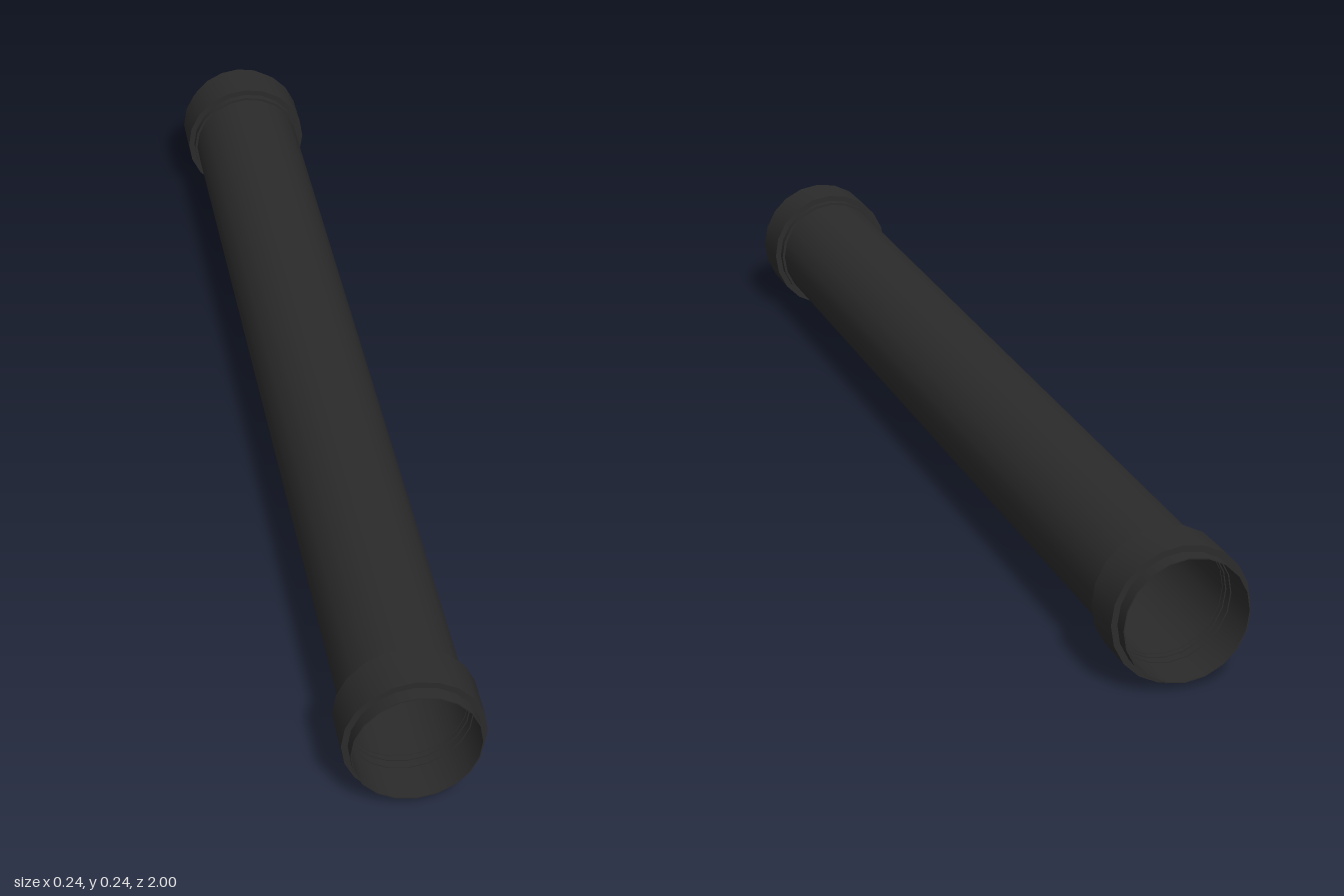
import * as THREE from 'three';
import { toCreasedNormals } from 'three/addons/utils/BufferGeometryUtils.js';

const SIDES = 20;
const RADIUS = 0.121; // widest radius, at the collars

const material = new THREE.MeshStandardMaterial({ color: 0x2b2b2b });

// Ring turned from a closed profile of [radius, distance along the axis],
// listed up the outside and back down the inside
function ring(name, profile) {
  const points = [...profile, profile[0]].map(([r, d]) => new THREE.Vector2(r, d));
  const geometry = toCreasedNormals(new THREE.LatheGeometry(points, SIDES), 0.5);
  const mesh = new THREE.Mesh(geometry, material);
  mesh.name = name;
  return mesh;
}

// Socket sleeve with a raised collar, at the +y end of the axis
function makeEnd(name) {
  const end = new THREE.Group();
  end.name = name;
  end.add(
    ring('sleeve', [
      [0.104, 0.88], [0.11, 0.88], [0.11, 1], [0.108, 1],
      [0.108, 0.93], [0.106, 0.93], [0.106, 0.915], [0.104, 0.915],
    ]),
    ring('collar', [
      [0.109, 0.893], [RADIUS, 0.893], [RADIUS, 0.975], [0.109, 0.975],
    ]),
  );
  return end;
}

export function createModel() {
  const model = new THREE.Group();
  model.name = 'pipe';

  // Long hollow tube
  const tube = ring('tube', [
    [0.103, -0.905], [0.105, -0.905], [0.105, 0.905], [0.103, 0.905],
  ]);
  tube.rotation.x = Math.PI / 2;
  model.add(tube);

  // Matching ends at the front and back
  for (const [name, side] of [['frontEnd', 1], ['backEnd', -1]]) {
    const end = makeEnd(name);
    end.rotation.x = side * Math.PI / 2;
    model.add(end);
  }

  // Lay the pipe on the ground
  for (const part of model.children) part.position.y = RADIUS;
  return model;
}
